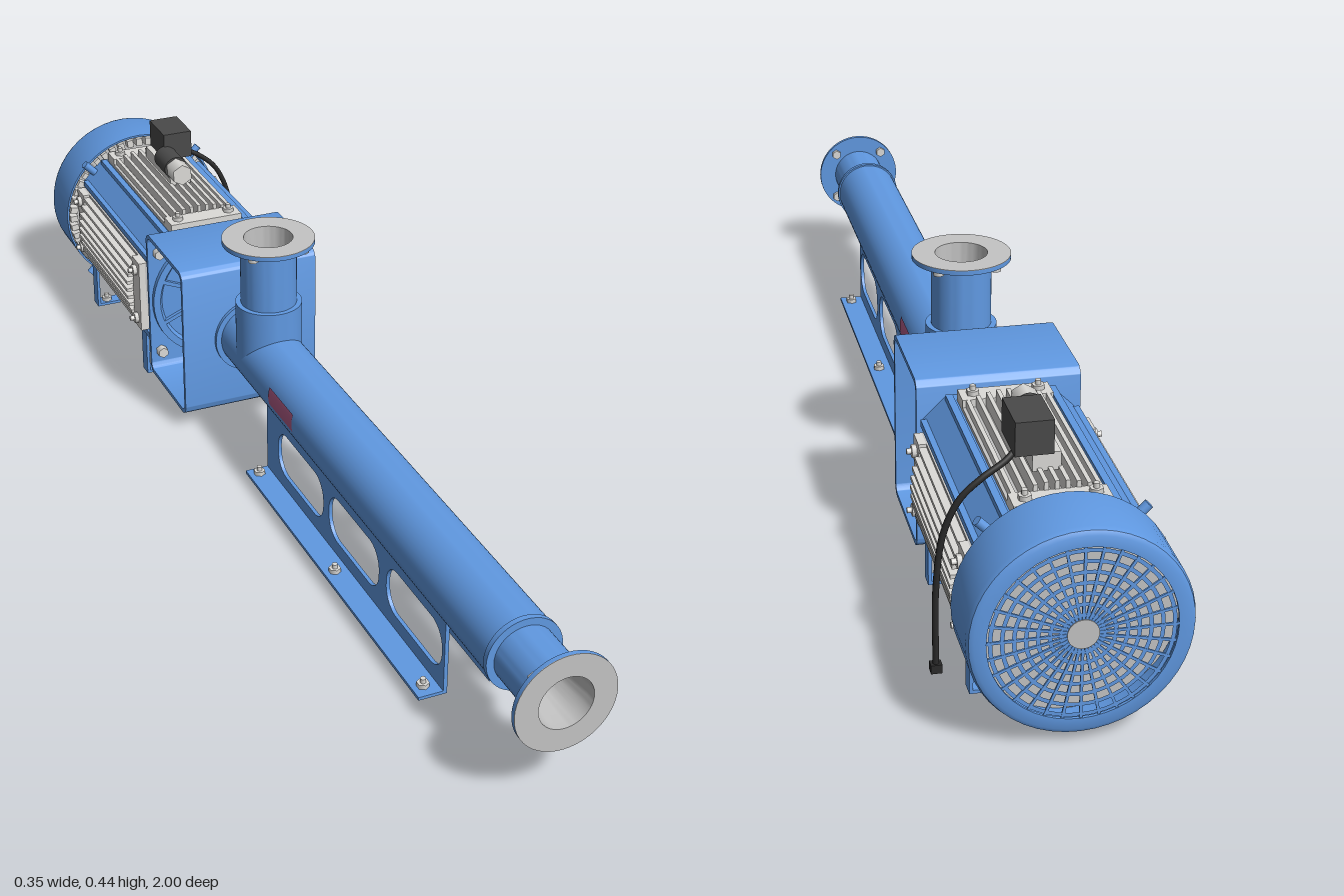
import * as THREE from 'three';
import { toCreasedNormals } from 'three/addons/utils/BufferGeometryUtils.js';

const mat = (name, color) => {
  const m = new THREE.MeshStandardMaterial({ color, side: THREE.DoubleSide });
  m.name = name;
  return m;
};
const AXIS = 0.186; // height of the shaft line

export function createModel() {
  const blue = mat('blue paint', 0x6099e2);
  const grey = mat('machined grey', 0xc4c4c4);
  const fin = mat('fin metal', 0xdcdbd8);
  const dark = mat('terminal box grey', 0x4a4a4a);
  const black = mat('cable black', 0x2a2a2a);
  const yellow = mat('coupling yellow', 0xe8a820);
  const red = mat('label red', 0xb05c86);

  const root = new THREE.Group();
  root.name = 'pump';
  root.position.x = -0.004;

  const add = (name, geo, m, x = 0, y = 0, z = 0, parent = root) => {
    const mesh = new THREE.Mesh(geo, m);
    mesh.name = name;
    mesh.position.set(x, y, z);
    parent.add(mesh);
    return mesh;
  };
  const box = (name, w, h, d, m, x, y, z, parent) =>
    add(name, new THREE.BoxGeometry(w, h, d), m, x, y, z, parent);
  // turned part around the vertical axis from [radius, height] pairs
  const lathe = (pts, seg = 48) =>
    toCreasedNormals(new THREE.LatheGeometry(pts.map(p => new THREE.Vector2(...p)), seg), 0.6);
  // turned part around the shaft line
  const turned = (name, pts, m) => add(name, lathe(pts).rotateX(Math.PI / 2), m, 0, AXIS, 0);
  // cylinder along z between two z values
  const rod = (name, r, z0, z1, m, x = 0, y = AXIS, seg = 32, parent = root) =>
    add(name, new THREE.CylinderGeometry(r, r, z1 - z0, seg).rotateX(Math.PI / 2), m, x, y, (z0 + z1) / 2, parent);
  const roundRect = (path, x0, y0, x1, y1, r) => {
    path.moveTo(x0 + r, y0);
    path.lineTo(x1 - r, y0);
    path.absarc(x1 - r, y0 + r, r, -Math.PI / 2, 0);
    path.lineTo(x1, y1 - r);
    path.absarc(x1 - r, y1 - r, r, 0, Math.PI / 2);
    path.lineTo(x0 + r, y1);
    path.absarc(x0 + r, y1 - r, r, Math.PI / 2, Math.PI);
    path.lineTo(x0, y0 + r);
    path.absarc(x0 + r, y0 + r, r, Math.PI, Math.PI * 1.5);
    return path;
  };
  // side profile (drawn with -z to the right) extruded across x
  const acrossX = (shape, width) =>
    new THREE.ExtrudeGeometry(shape, { depth: width, bevelEnabled: false, curveSegments: 10 })
      .translate(0, 0, -width / 2).rotateY(Math.PI / 2);
  const nut = (x, y, z, parent = root) => {
    add('nut', new THREE.CylinderGeometry(0.011, 0.011, 0.008, 6), fin, x, y + 0.004, z, parent);
    add('bolt', new THREE.CylinderGeometry(0.005, 0.005, 0.016, 10), fin, x, y + 0.008, z, parent);
  };

  // pump barrel and suction pipe
  turned('barrel', [[0, -0.294], [0.063, -0.294], [0.063, 0.87], [0, 0.87]], blue);
  turned('barrelCollar', [[0.062, 0.862], [0.066, 0.862], [0.066, 0.872], [0.05, 0.872]], blue);
  turned('suctionPipe', [[0.053, 0.865], [0.053, 0.991], [0.087, 0.991], [0.087, 0.999], [0.047, 0.999]], blue);
  turned('suctionBore', [[0.047, 1], [0.047, 0.98], [0.034, 0.876], [0, 0.876]], grey);
  turned('suctionFace', [[0.087, 0.999], [0.087, 1], [0.047, 1]], grey);
  rod('rotorTip', 0.031, 0.876, 0.915, grey, 0, AXIS - 0.013);

  // upright discharge branch
  const branch = new THREE.Group();
  branch.name = 'dischargeBranch';
  branch.position.z = -0.148;
  root.add(branch);
  add('sleeve', lathe([[0.063, 0.19], [0.063, 0.306], [0.05, 0.306]]), blue, 0, 0, 0, branch);
  add('dischargePipe', lathe([[0.053, 0.3], [0.053, 0.429], [0.087, 0.429], [0.087, 0.437], [0.046, 0.437]]), blue, 0, 0, 0, branch);
  add('dischargeFace', lathe([[0.087, 0.437], [0.087, 0.438], [0.046, 0.438]]), grey, 0, 0, 0, branch);
  add('dischargeBore', lathe([[0.046, 0.438], [0.044, 0.253], [0, 0.253]]), grey, 0, 0, 0, branch);
  rod('rotor', 0.022, -0.036, 0.036, grey, 0, 0.258, 20, branch);

  // flange nuts
  for (let i = 0; i < 4; i++) {
    const a = Math.PI / 4 + i * Math.PI / 2, c = 0.071 * Math.cos(a), s = 0.071 * Math.sin(a);
    rod('flangeNut', 0.01, 0.982, 0.991, fin, c, AXIS + s, 6);
    add('flangeNut', new THREE.CylinderGeometry(0.01, 0.01, 0.01, 6), fin, c, 0.424, s, branch);
  }

  // labels wrapped on both sides of the barrel
  for (const s of [1, -1]) {
    const g = new THREE.CylinderGeometry(0.0638, 0.0638, 0.11, 8, 1, true, s * Math.PI / 2 - 0.31, 0.62);
    add('label', g.rotateX(Math.PI / 2), red, 0, AXIS + 0.004, 0.057);
  }

  // pump base: slotted side plates with outward feet
  for (const s of [1, -1]) {
    const plate = new THREE.Shape();
    plate.moveTo(-0.7, 0);
    plate.lineTo(0.05, 0);
    plate.lineTo(0.05, 0.145);
    plate.lineTo(-0.7, 0.145);
    for (const z of [0.585, 0.345, 0.11])
      plate.holes.push(roundRect(new THREE.Path(), -z - 0.105, 0.033, -z + 0.105, 0.122, 0.04));
    add('basePlate', acrossX(plate, 0.007), blue, s * 0.042, 0, 0);
    box('baseFoot', 0.05, 0.006, 0.75, blue, s * 0.065, 0.003, 0.325);
    for (const z of [0.675, 0.322, -0.03]) nut(s * 0.07, 0.006, z);
  }

  // lantern frame between pump and motor, open at the sides
  const frame = roundRect(new THREE.Shape(), 0.245, 0.031, 0.452, 0.341, 0.02);
  frame.holes.push(roundRect(new THREE.Path(), 0.253, 0.039, 0.444, 0.333, 0.013));
  add('lanternFrame', toCreasedNormals(acrossX(frame, 0.276), 0.5), blue);
  turned('barrelSeat', [[0.063, -0.247], [0.074, -0.247], [0.074, -0.238], [0.063, -0.238]], blue);

  // shaft and coupling
  rod('shaft', 0.013, -0.45, -0.28, grey);
  rod('coupling', 0.021, -0.4, -0.327, yellow);
  rod('couplingRing', 0.023, -0.37, -0.358, yellow);

  // motor end shield with ribs and bolts
  turned('endShield', [[0.132, -0.446], [0.132, -0.434], [0.118, -0.434], [0.112, -0.442], [0.045, -0.442], [0.04, -0.426], [0, -0.426]], blue);
  for (let i = 0; i < 8; i++) {
    const a = (i + 0.5) * Math.PI / 4;
    const rib = box('shieldRib', 0.08, 0.008, 0.008, blue, 0.078 * Math.cos(a), AXIS + 0.078 * Math.sin(a), -0.438);
    rib.rotation.z = a;
  }
  for (const sx of [1, -1]) for (const sy of [1, -1])
    rod('shieldBolt', 0.011, -0.444, -0.428, fin, sx * 0.117, AXIS + sy * 0.11, 6);

  // motor body
  const H = 0.127, C = 0.088;
  const body = new THREE.Shape([[H, -C], [H, C], [C, H], [-C, H], [-H, C], [-H, -C], [-C, -H], [C, -H]]
    .map(p => new THREE.Vector2(...p)));
  add('motorBody', new THREE.ExtrudeGeometry(body, { depth: 0.435, bevelEnabled: false }), blue, 0, AXIS, -0.887);

  // four finned cooling panels
  for (let k = 0; k < 4; k++) {
    const panel = new THREE.Group();
    panel.name = 'coolingPanel';
    panel.position.y = AXIS;
    panel.rotation.z = k * Math.PI / 2;
    root.add(panel);
    box('panelBase', 0.15, 0.012, 0.4, grey, 0, 0.128, -0.675, panel);
    for (let i = -4; i <= 4; i++) {
      const x = i * 0.0165, top = Math.sqrt(0.161 ** 2 - x * x);
      box('fin', 0.007, top - 0.12, 0.32, fin, x, (top + 0.12) / 2, -0.675, panel);
    }
    for (const z of [-0.496, -0.854]) {
      box('panelEnd', 0.15, 0.022, 0.042, fin, 0, 0.136, z, panel);
      for (const x of [-0.054, 0.054]) nut(x, 0.147, z, panel);
    }
    // long corner rails
    for (const s of [1, -1]) box('cornerRail', 0.012, 0.014, 0.41, blue, s * 0.086, 0.126, -0.667, panel);
  }

  // fan cover with rear grille
  turned('fanCover', [[0.166, -0.886], [0.17, -0.886], [0.17, -0.988], [0.167, -0.996], [0.16, -1], [0.142, -1], [0.142, -0.995], [0.162, -0.99], [0.166, -0.886]], blue);
  turned('fanBacking', [[0, -0.94], [0.163, -0.94]], grey);
  for (let i = 0; i < 7; i++) {
    const r = 0.028 + i * 0.0175;
    add('grilleRing', new THREE.RingGeometry(r, r + 0.0065, 48), blue, 0, AXIS, -0.998).rotation.y = Math.PI;
  }
  for (let i = 0; i < 32; i++) {
    const a = i * Math.PI / 16;
    const spoke = box('grilleSpoke', 0.122, 0.0045, 0.003, blue, 0.084 * Math.cos(a), AXIS + 0.084 * Math.sin(a), -0.997);
    spoke.rotation.z = a;
  }
  rod('grilleHub', 0.024, -1, -0.994, grey);
  // spacers around the cover's open mouth
  for (let i = 0; i < 48; i++) {
    const a = i * Math.PI / 24;
    const b = box('coverSpacer', 0.016, 0.013, 0.02, fin, 0.155 * Math.cos(a), AXIS + 0.155 * Math.sin(a), -0.893);
    b.rotation.z = a;
  }
  // cover fixing lugs
  for (const sx of [1, -1]) for (const sy of [1, -1]) {
    const lug = add('coverLug', new THREE.CylinderGeometry(0.008, 0.008, 0.04, 12), blue, sx * 0.115, AXIS + sy * 0.115, -0.872);
    lug.rotation.z = -sx * sy * Math.PI / 4;
  }

  // motor feet, turned inward
  for (const s of [1, -1]) for (const z of [-0.505, -0.83]) {
    box('motorLeg', 0.006, 0.118, 0.028, blue, s * 0.129, 0.059, z);
    box('motorFoot', 0.05, 0.006, 0.028, blue, s * 0.106, 0.003, z);
    nut(s * 0.108, 0.006, z);
  }

  // terminal box, cable gland and cable
  box('terminalSeat', 0.044, 0.03, 0.15, fin, 0.005, 0.356, -0.715);
  box('terminalBox', 0.06, 0.056, 0.088, dark, 0.025, 0.398, -0.75);
  rod('gland', 0.024, -0.71, -0.645, dark, -0.002, 0.376, 24);
  rod('glandNut', 0.022, -0.645, -0.606, fin, -0.002, 0.376, 6);
  const path = new THREE.CatmullRomCurve3([[0.04, 0.378, -0.765], [0.062, 0.358, -0.775], [0.1, 0.334, -0.78], [0.134, 0.302, -0.78],
    [0.159, 0.245, -0.778], [0.17, 0.15, -0.776], [0.17, 0.012, -0.775]].map(p => new THREE.Vector3(...p)));
  add('cable', new THREE.TubeGeometry(path, 48, 0.0052, 10), black);
  box('cablePlug', 0.018, 0.015, 0.016, black, 0.17, 0.0095, -0.775);

  return root;
}
